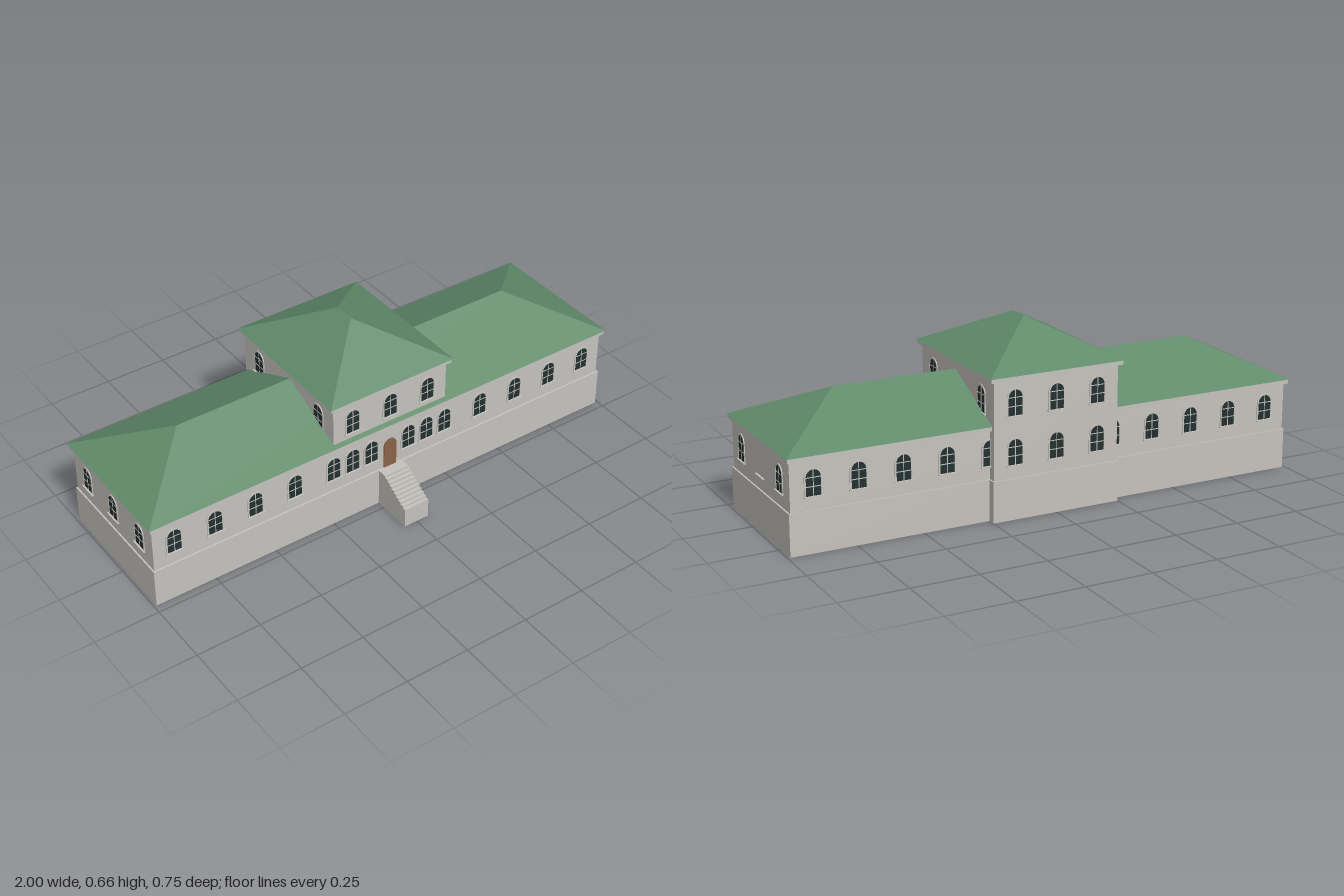
import * as THREE from 'three';

const material = (name, color, side = THREE.FrontSide) => {
  const m = new THREE.MeshStandardMaterial({ color, side });
  m.name = name;
  return m;
};

export function createModel() {
  const stone = material('stone', 0xc6c3be, THREE.DoubleSide);
  const green = material('roof green', 0x5f8a69);
  const glass = material('dark glass', 0x22302f);
  const wood = material('door wood', 0x8b6449);
  const model = new THREE.Group();
  model.name = 'longHouse';

  const add = (parent, name, geometry, mat) => {
    const mesh = new THREE.Mesh(geometry, mat);
    mesh.name = name;
    parent.add(mesh);
    return mesh;
  };

  // Box given by its limits; open boxes have no bottom face
  const block = (name, x0, x1, y0, y1, z0, z1, open = false) => {
    const g = new THREE.BoxGeometry(x1 - x0, y1 - y0, z1 - z0);
    if (open) {
      const index = Array.from(g.index.array);
      index.splice(18, 6);
      g.setIndex(index);
      g.clearGroups();
    }
    g.translate((x0 + x1) / 2, (y0 + y1) / 2, (z0 + z1) / 2);
    return add(model, name, g, stone);
  };

  // Hip roof: eave rectangle rising to a ridge line (rx half length, rz0..rz1)
  const hipRoof = (name, ex, z0, z1, y0, y1, rx, rz0, rz1) => {
    const ring = (x, y, za, zb) => [[-x, y, zb], [x, y, zb], [x, y, za], [-x, y, za]];
    const eave = ring(ex, y0, z0, z1);
    const ridge = ring(rx, y1, rz0, rz1);
    const points = [];
    const quad = (a, b, c, d) => points.push(...a, ...b, ...c, ...a, ...c, ...d);
    for (let i = 0; i < 4; i++) {
      const j = (i + 1) % 4;
      quad(eave[i], eave[j], ridge[j], ridge[i]);
    }
    quad(eave[0], eave[3], eave[2], eave[1]);
    const g = new THREE.BufferGeometry();
    g.setAttribute('position', new THREE.Float32BufferAttribute(points, 3));
    g.computeVertexNormals();
    return add(model, name, g, green);
  };

  // Round-headed outline standing on y = 0
  const arch = (Type, r, height) => {
    const s = new Type();
    s.moveTo(-r, 0);
    s.lineTo(r, 0);
    s.lineTo(r, height - r);
    s.absarc(0, height - r, r, 0, Math.PI, false);
    s.lineTo(-r, 0);
    return s;
  };

  // Plinths, hollow below
  block('centrePlinth', -0.25, 0.25, 0, 0.152, -0.362, 0.217, true);
  block('leftPlinth', 0.25, 0.99, 0, 0.152, -0.332, 0.217, true);
  block('rightPlinth', -0.99, -0.25, 0, 0.152, -0.332, 0.217, true);

  // Walls and cornices
  block('wingWalls', -0.984, 0.984, 0.151, 0.335, -0.328, 0.21);
  block('wingCornice', -0.994, 0.994, 0.33, 0.347, -0.341, 0.222);
  block('towerWalls', -0.245, 0.245, 0.151, 0.51, -0.358, 0.21);
  block('towerCornice', -0.26, 0.26, 0.508, 0.524, -0.37, 0.222);

  // Roofs
  hipRoof('wingRoof', 1, -0.347, 0.227, 0.347, 0.483, 0.713, -0.06, -0.06);
  hipRoof('towerRoof', 0.265, -0.375, 0.227, 0.524, 0.66, 0, -0.115, -0.033);

  // Window parts, shared by all windows
  const frameShape = arch(THREE.Shape, 0.033, 0.101);
  frameShape.holes.push(arch(THREE.Path, 0.027, 0.095));
  const frameGeo = new THREE.ExtrudeGeometry(frameShape, { depth: 0.003, bevelEnabled: false, curveSegments: 10 });
  const glassGeo = new THREE.ShapeGeometry(arch(THREE.Shape, 0.028, 0.096), 10);
  glassGeo.translate(0, 0, 0.001);
  const uprightGeo = new THREE.BoxGeometry(0.003, 0.095, 0.002).translate(0, 0.0475, 0.001);
  const crossGeo = new THREE.BoxGeometry(0.054, 0.003, 0.002);
  const sillGeo = new THREE.BoxGeometry(0.072, 0.004, 0.008).translate(0, 0, 0.004);

  const windowAt = (x, y, z, turn, blind = false) => {
    const w = new THREE.Group();
    w.name = blind ? 'blindWindow' : 'window';
    add(w, 'sill', sillGeo, stone);
    if (!blind) {
      add(w, 'pane', glassGeo, glass);
      add(w, 'frame', frameGeo, stone);
      add(w, 'upright', uprightGeo, stone);
      for (const h of [0.035, 0.067]) add(w, 'crossbar', crossGeo, stone).position.set(0, h, 0.001);
    }
    w.position.set(x, y, z);
    w.rotation.y = turn;
    model.add(w);
  };

  const low = 0.2, high = 0.378;
  for (const s of [-1, 1]) {
    const side = s * Math.PI / 2;
    // Front and back of the wings
    for (const x of [0.9, 0.737, 0.573, 0.409, 0.245]) {
      windowAt(s * x, low, 0.21, 0);
      windowAt(s * x, low, -0.328, Math.PI);
    }
    for (const x of [0.163, 0.082]) windowAt(s * x, low, 0.21, 0);
    // End walls; the middle one on the left end has only its sill
    for (const z of [0.122, -0.058, -0.238]) windowAt(s * 0.984, low, z, side, s > 0 && z === -0.058);
    // Tower sides
    for (const z of [0.117, -0.263]) windowAt(s * 0.245, high, z, side);
  }
  // Tower front and back
  for (const x of [-0.163, 0, 0.163]) {
    windowAt(x, high, 0.21, 0);
    windowAt(x, high, -0.358, Math.PI);
    windowAt(x, low, -0.358, Math.PI);
  }

  // Door
  const doorGeo = new THREE.ExtrudeGeometry(arch(THREE.Shape, 0.027, 0.122), { depth: 0.004, bevelEnabled: false, curveSegments: 10 });
  add(model, 'door', doorGeo, wood).position.set(0, 0.152, 0.21);

  // Front stairs: side profile with nine steps, extruded across
  const profile = new THREE.Shape();
  profile.moveTo(0.21, 0);
  profile.lineTo(0.378, 0);
  const steps = 9, run = 0.0137, rise = (0.152 - 0.077) / steps;
  for (let i = 0; i <= steps; i++) {
    const z = 0.378 - i * run, y = 0.077 + i * rise;
    profile.lineTo(z, y);
    profile.lineTo(i < steps ? z - run : 0.21, y);
  }
  const stairGeo = new THREE.ExtrudeGeometry(profile, { depth: 0.104, bevelEnabled: false });
  stairGeo.translate(0, 0, -0.052).rotateY(-Math.PI / 2);
  add(model, 'frontStairs', stairGeo, stone);

  return model;
}
